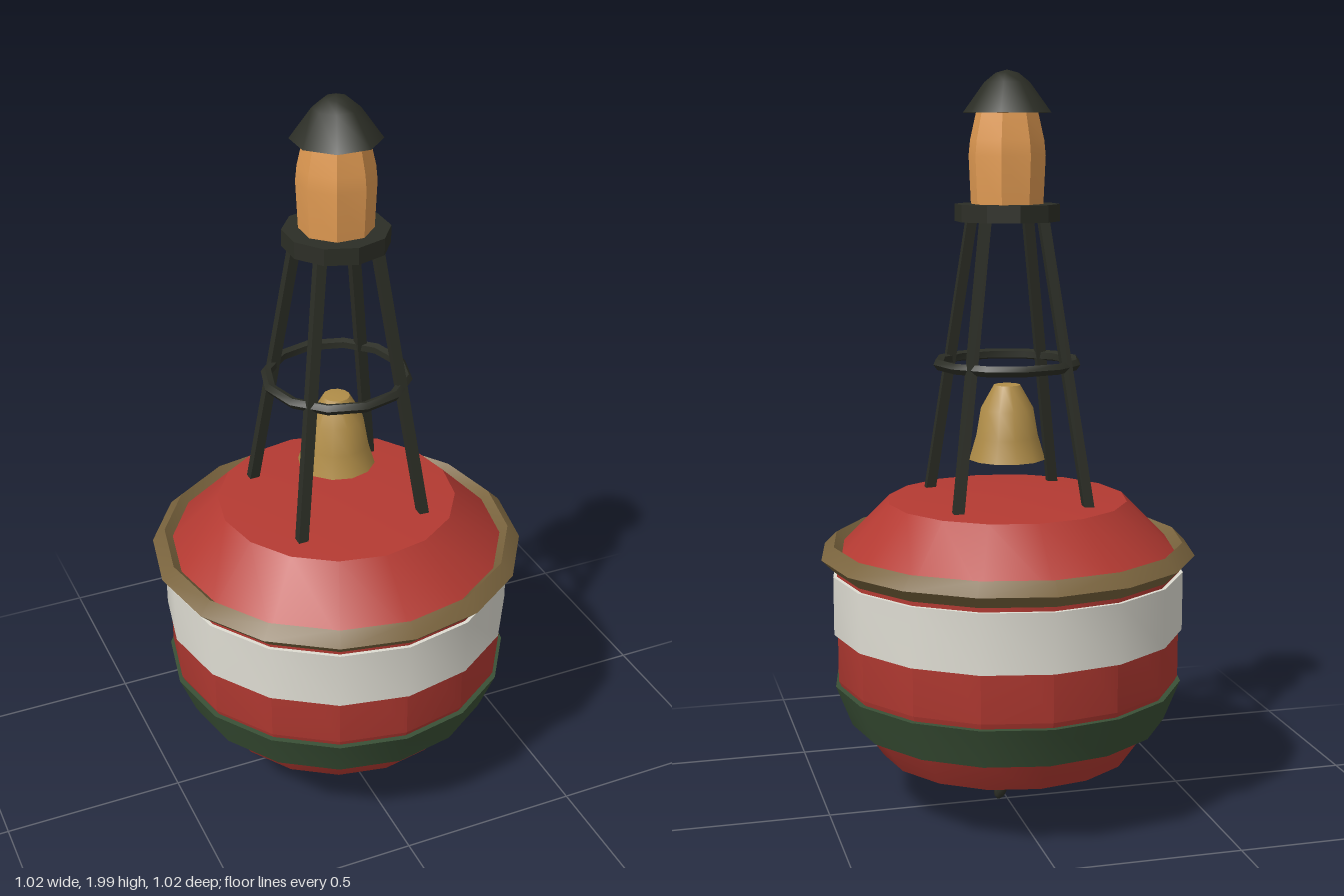
import * as THREE from 'three';
import { toCreasedNormals } from 'three/addons/utils/BufferGeometryUtils.js';

const paint = (name, color, side = THREE.FrontSide) => {
  const m = new THREE.MeshStandardMaterial({ color, side });
  m.name = name;
  return m;
};

export function createModel() {
  const red = paint('red hull paint', 0xb43a32);
  const white = paint('white band paint', 0xdedcd2);
  const green = paint('green band paint', 0x3a5036);
  const tan = paint('tan rope', 0x7a643e);
  const iron = paint('dark iron', 0x2c2e26);
  const brass = paint('brass', 0xb08d48, THREE.DoubleSide);
  const amber = paint('amber glass', 0xe09a52);

  const model = new THREE.Group();
  model.name = 'bellBuoy';
  const add = (name, geometry, material, parent = model) => {
    const mesh = new THREE.Mesh(geometry, material);
    mesh.name = name;
    parent.add(mesh);
    return mesh;
  };
  // Turned part from [radius, height] pairs, listed bottom to top on the outside
  const turned = (profile, sides, crease = 0.5, start = 0) => toCreasedNormals(
    new THREE.LatheGeometry(profile.map(([r, y]) => new THREE.Vector2(r, y)), sides, start), crease);
  // Horizontal ring with a coarse cross-section
  const ring = (radius, tube, tubeSides, sides, y) => toCreasedNormals(
    new THREE.TorusGeometry(radius, tube, tubeSides, sides).rotateX(Math.PI / 2).translate(0, y, 0), 0.55);

  // Float body and its bands
  add('hull', turned([[0, 0.12], [0.347, 0.165], [0.405, 0.25], [0.468, 0.385],
    [0.468, 0.72], [0.325, 0.865], [0, 0.885]], 16), red);
  add('whiteBand', turned([[0.46, 0.515], [0.478, 0.515], [0.478, 0.675], [0.46, 0.675]], 16), white);
  add('greenBand', turned([[0.38, 0.258], [0.432, 0.258], [0.476, 0.37], [0.45, 0.37]], 16), green);
  add('fenderRing', ring(0.475, 0.034, 4, 16, 0.722), tan);

  // Four leaning legs: square bars sheared toward the centre
  const tower = new THREE.Group();
  tower.name = 'tower';
  model.add(tower);
  const y0 = 0.85, y1 = 1.62;
  for (const sx of [-1, 1]) for (const sz of [-1, 1]) {
    const leg = new THREE.BoxGeometry(0.027, y1 - y0, 0.027).translate(0, (y0 + y1) / 2, 0);
    const p = leg.attributes.position;
    for (let i = 0; i < p.count; i++) {
      const reach = THREE.MathUtils.mapLinear(p.getY(i), y0, y1, 0.178, 0.077);
      p.setX(i, p.getX(i) + sx * reach);
      p.setZ(i, p.getZ(i) + sz * reach);
    }
    leg.computeVertexNormals();
    add('leg', leg, iron, tower);
  }
  add('braceRing', ring(0.186, 0.015, 5, 12, 1.235), iron, tower);
  add('platform', turned([[0, 1.61], [0.139, 1.61], [0.139, 1.655], [0, 1.655]], 10), iron, tower);

  // Lantern with an eight-sided cap
  const turn = Math.PI / 8;
  add('lanternGlass', turned([[0, 1.65], [0.096, 1.65], [0.102, 1.78], [0.098, 1.82], [0.08, 1.9], [0, 1.9]],
    8, 0.5, turn), amber);
  add('lanternCap', turned([[0, 1.89], [0.117, 1.89], [0.06, 1.968], [0.03, 1.992], [0, 2]], 8, 0.8, turn), iron);

  // Bell, open below, with its clapper
  add('bell', turned([[0.104, 0.975], [0.086, 1.035], [0.073, 1.11], [0.036, 1.175], [0, 1.178]], 12, 0.6), brass);
  add('clapper', new THREE.SphereGeometry(0.021, 8, 6).translate(0, 0.977, 0), iron);

  // Oval mooring eye, leaning a little to one side
  const eye = new THREE.TorusGeometry(0.026, 0.01, 6, 12).rotateY(Math.PI / 2).scale(1.2, 1.6, 1);
  const mooringEye = add('mooringEye', eye, iron);
  mooringEye.position.set(0.014, 0.062, 0);
  mooringEye.rotation.z = 0.24;

  return model;
}
